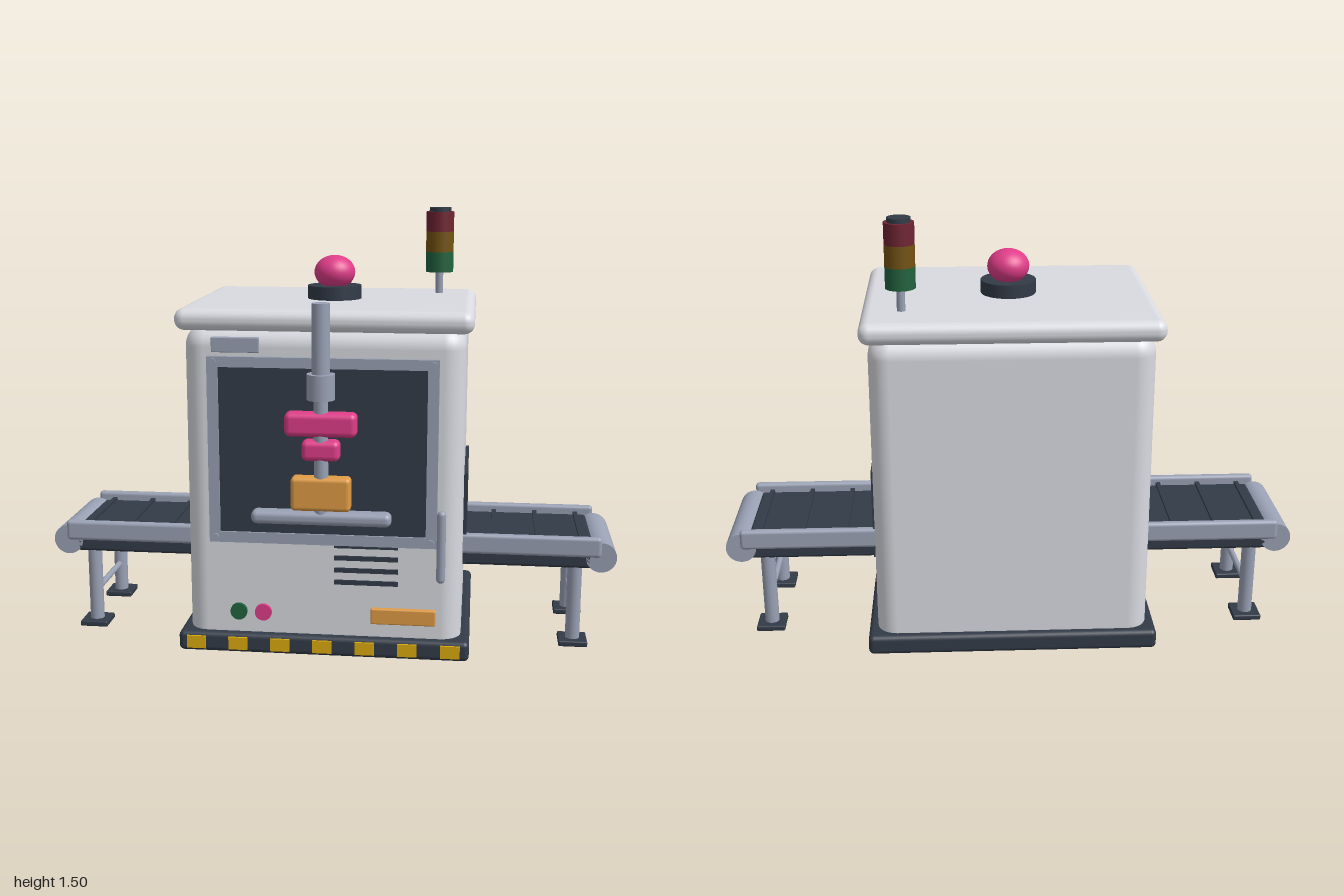
import * as THREE from 'three';
import { RoundedBoxGeometry } from 'three/addons/geometries/RoundedBoxGeometry.js';

const mat = (name, color) => {
  const m = new THREE.MeshStandardMaterial({ color });
  m.name = name;
  return m;
};

export function createModel() {
  const shell = mat('shell white', 0xd9dbe1);
  const dark = mat('dark slate', 0x323b48);
  const metal = mat('blue grey metal', 0x99a1b4);
  const pink = mat('pink', 0xe03d89);
  const orange = mat('orange', 0xe09c45);
  const yellow = mat('hazard yellow', 0xdcaa10);
  const green = mat('signal green', 0x22633f);
  const amber = mat('signal amber', 0x735313);
  const red = mat('signal red', 0x702433);

  const root = new THREE.Group();
  root.name = 'processingMachine';
  const ZC = -0.032; // depth centre of the cabinet

  const group = (name) => {
    const g = new THREE.Group();
    g.name = name;
    root.add(g);
    return g;
  };
  const add = (parent, name, geo, m, x, y, z) => {
    const mesh = new THREE.Mesh(geo, m);
    mesh.name = name;
    mesh.position.set(x, y, z);
    parent.add(mesh);
    return mesh;
  };
  // Box given by its limits; r rounds the edges
  const box = (parent, name, m, x0, x1, y0, y1, z0, z1, r = 0) => {
    const s = [x1 - x0, y1 - y0, z1 - z0];
    const geo = r ? new RoundedBoxGeometry(...s, 4, r) : new THREE.BoxGeometry(...s);
    return add(parent, name, geo, m, (x0 + x1) / 2, (y0 + y1) / 2, (z0 + z1) / 2);
  };
  // Upright cylinder between two heights
  const post = (parent, name, m, r, x, y0, y1, z) =>
    add(parent, name, new THREE.CylinderGeometry(r, r, y1 - y0, 32), m, x, (y0 + y1) / 2, z);
  // Cylinder lying along z
  const rod = (parent, name, m, r, len, x, y, z) => {
    const mesh = add(parent, name, new THREE.CylinderGeometry(r, r, len, 32), m, x, y, z);
    mesh.rotation.x = Math.PI / 2;
    return mesh;
  };

  // Cabinet, plinth and roof
  const cabinet = group('cabinet');
  box(cabinet, 'body', shell, -0.47, 0.47, 0.005, 1.13, -0.395, 0.335, 0.07);
  box(cabinet, 'plinth', dark, -0.5, 0.5, 0, 0.07, -0.422, 0.362, 0.018);
  box(cabinet, 'roof', shell, -0.495, 0.495, 1.115, 1.188, -0.418, 0.358, 0.034);
  for (let i = -3; i <= 3; i++) {
    const x = i * 0.1455;
    box(cabinet, 'hazardStripe', yellow, x - 0.033, x + 0.033, 0.014, 0.058, 0.361, 0.369);
  }

  // Window with raised frame and corner bolts
  const win = group('window');
  const rect = (shape, x0, x1, y0, y1) =>
    shape.moveTo(x0, y0).lineTo(x1, y0).lineTo(x1, y1).lineTo(x0, y1).closePath();
  const frame = rect(new THREE.Shape(), -0.385, 0.385, 0.395, 1.032);
  frame.holes.push(rect(new THREE.Path(), -0.348, 0.348, 0.432, 0.997));
  add(win, 'windowFrame', new THREE.ExtrudeGeometry(frame, { depth: 0.022, bevelEnabled: false }),
    metal, 0, 0, 0.33);
  box(win, 'windowPane', dark, -0.352, 0.352, 0.428, 1.0, 0.33, 0.345);
  for (const x of [-0.365, 0.365])
    for (const y of [0.413, 1.014]) rod(win, 'frameBolt', metal, 0.013, 0.01, x, y, 0.354);

  // Front panel details
  const panel = group('frontPanel');
  box(panel, 'namePlate', metal, -0.37, -0.21, 1.045, 1.095, 0.325, 0.345, 0.003);
  for (let i = 0; i < 4; i++) {
    const y = 0.262 + i * 0.043;
    box(panel, 'ventSlot', dark, 0.04, 0.256, y - 0.008, y + 0.008, 0.332, 0.341);
  }
  rod(panel, 'startButton', green, 0.029, 0.025, -0.29, 0.145, 0.335);
  rod(panel, 'stopButton', pink, 0.029, 0.025, -0.205, 0.145, 0.335);
  box(panel, 'labelPlate', orange, 0.165, 0.385, 0.12, 0.175, 0.325, 0.352, 0.005);
  add(panel, 'doorHandle', new THREE.CapsuleGeometry(0.015, 0.222, 6, 16), metal, 0.4, 0.4, 0.347);

  // Vertical press arm in front of the window
  const arm = group('pressArm');
  const AZ = 0.375;
  post(arm, 'upperShaft', metal, 0.03, 0, 0.94, 1.216, AZ);
  post(arm, 'collar', metal, 0.047, 0, 0.9, 0.985, AZ);
  post(arm, 'lowerShaft', metal, 0.024, 0, 0.5, 0.92, AZ);
  box(arm, 'upperClamp', pink, -0.12, 0.12, 0.777, 0.858, 0.342, 0.407, 0.02);
  box(arm, 'lowerClamp', pink, -0.064, 0.064, 0.695, 0.765, 0.342, 0.405, 0.02);
  box(arm, 'workpiece', orange, -0.1, 0.1, 0.525, 0.64, 0.345, 0.404, 0.015);
  box(arm, 'tray', metal, -0.235, 0.235, 0.475, 0.522, 0.343, 0.403, 0.02);

  // Warning lamp on the roof
  const lamp = group('warningLamp');
  post(lamp, 'lampBase', dark, 0.095, 0, 1.18, 1.234, ZC + 0.003);
  add(lamp, 'lampDome', new THREE.SphereGeometry(0.072, 32, 20), pink, 0, 1.28, ZC + 0.003)
    .scale.y = 0.82;

  // Stacked signal tower
  const tower = group('signalTower');
  const tx = 0.36, tz = -0.248;
  post(tower, 'towerPole', metal, 0.014, tx, 1.18, 1.27, tz);
  post(tower, 'greenLight', green, 0.05, tx, 1.265, 1.338, tz);
  post(tower, 'amberLight', amber, 0.05, tx, 1.338, 1.411, tz);
  post(tower, 'redLight', red, 0.05, tx, 1.411, 1.482, tz);
  post(tower, 'towerCap', dark, 0.039, tx, 1.48, 1.497, tz);

  // A conveyor on each side
  for (const s of [-1, 1]) {
    const conveyor = group(s > 0 ? 'leftConveyor' : 'rightConveyor');
    const sideBox = (name, m, x0, x1, y0, y1, z0, z1, r) =>
      box(conveyor, name, m, Math.min(s * x0, s * x1), Math.max(s * x0, s * x1),
        y0, y1, ZC + z0, ZC + z1, r);
    sideBox('tunnelOpening', dark, 0.46, 0.482, 0.29, 0.615, -0.212, 0.212);
    sideBox('belt', dark, 0.45, 0.92, 0.28, 0.37, -0.188, 0.188, 0.012);
    for (const x of [0.58, 0.73, 0.88])
      sideBox('beltCleat', dark, x - 0.008, x + 0.008, 0.36, 0.38, -0.185, 0.185);
    rod(conveyor, 'endRoller', metal, 0.053, 0.376, s * 0.947, 0.322, ZC);
    for (const k of [-1, 1]) {
      const z = k * 0.203;
      sideBox('sideRail', metal, 0.45, 0.945, 0.328, 0.4, z - 0.015, z + 0.015, 0.013);
      const lz = k * 0.16;
      post(conveyor, 'leg', metal, 0.025, s * 0.86, 0.01, 0.3, ZC + lz);
      sideBox('foot', dark, 0.81, 0.91, 0, 0.02, lz - 0.05, lz + 0.05, 0.005);
    }
    rod(conveyor, 'crossBar', metal, 0.011, 0.32, s * 0.86, 0.125, ZC);
  }
  return root;
}
